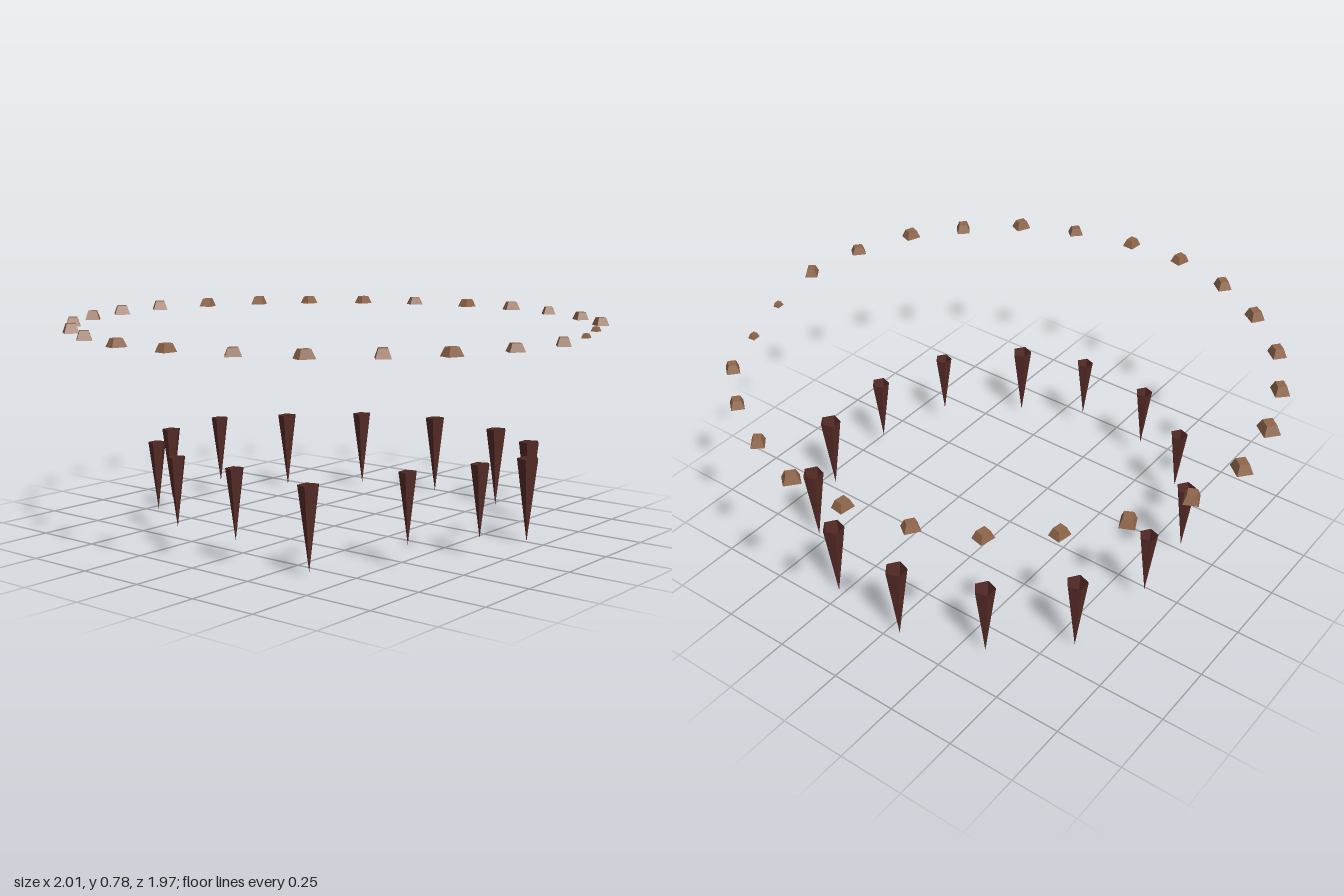
import * as THREE from 'three';

const stoneMat = new THREE.MeshStandardMaterial({ color: 0x8f6549, flatShading: true });
stoneMat.name = 'brown stone';
const spikeMat = new THREE.MeshStandardMaterial({ color: 0x562b26, flatShading: true, side: THREE.DoubleSide });
spikeMat.name = 'dark red brown';

// Upper ring of stones: x, z, width, turn in degrees
const STONES = [
  [-0.06, -0.949, 0.050, -8], [0.158, -0.949, 0.052, -40], [0.377, -0.875, 0.048, 40],
  [0.583, -0.765, 0.048, 50], [0.746, -0.624, 0.048, 50], [0.834, -0.431, 0.028, 5],
  [0.912, -0.223, 0.026, 5], [0.968, 0.021, 0.048, 35], [0.933, 0.253, 0.046, -40],
  [0.845, 0.472, 0.050, -20], [0.709, 0.638, 0.052, 40], [0.535, 0.798, 0.050, -25],
  [0.329, 0.888, 0.046, -45], [0.096, 0.943, 0.047, -5], [-0.123, 0.949, 0.048, -15],
  [-0.353, 0.883, 0.053, 50], [-0.556, 0.766, 0.055, 55], [-0.738, 0.6, 0.053, 50],
  [-0.856, 0.402, 0.055, 45], [-0.93, 0.184, 0.062, 50], [-0.96, -0.051, 0.058, 50],
  [-0.909, -0.276, 0.053, 25], [-0.81, -0.487, 0.053, 25], [-0.674, -0.656, 0.048, -10],
  [-0.497, -0.805, 0.049, -12], [-0.294, -0.902, 0.048, -35],
];

// Lower ring of spikes: x, z, tip height, top height
const SPIKES = [
  [-0.048, -0.716, 0.005, 0.31], [0.273, -0.677, 0, 0.305], [0.532, -0.5, 0.012, 0.31],
  [0.695, -0.227, 0.008, 0.31], [0.684, 0.059, 0.075, 0.333], [0.585, 0.335, 0.092, 0.338],
  [0.382, 0.597, 0.02, 0.31], [0.107, 0.65, 0.092, 0.338], [-0.19, 0.626, 0.087, 0.335],
  [-0.444, 0.473, 0.087, 0.335], [-0.626, 0.223, 0.058, 0.328], [-0.655, -0.077, 0.072, 0.33],
  [-0.578, -0.401, 0.012, 0.307], [-0.348, -0.612, 0.018, 0.31],
];

// Four-sided block of unit width, narrowing towards the top
function blockGeometry() {
  const g = new THREE.CylinderGeometry(0.6 * Math.SQRT1_2, Math.SQRT1_2, 1, 4);
  g.rotateY(Math.PI / 4);
  g.translate(0, 0.5, 0);
  return g;
}

export function createModel() {
  const model = new THREE.Group();

  const stoneRing = new THREE.Group();
  stoneRing.name = 'stoneRing';
  const block = blockGeometry();
  for (const [x, z, w, turn] of STONES) {
    const stone = new THREE.Mesh(block, stoneMat);
    stone.name = 'stone';
    stone.position.set(x, 0.75, z);
    stone.scale.set(w * 0.96, Math.min(0.034, w * 0.6), w * 1.14);
    stone.rotation.y = THREE.MathUtils.degToRad(turn);
    stoneRing.add(stone);
  }
  model.add(stoneRing);

  // Hollow five-sided spikes, points down
  const spikeRing = new THREE.Group();
  spikeRing.name = 'spikeRing';
  for (const [x, z, tip, top] of SPIKES) {
    const length = top - tip;
    const g = new THREE.CylinderGeometry(length * 0.133, 0, length, 5, 1, true);
    g.rotateY(Math.PI / 2);
    const spike = new THREE.Mesh(g, spikeMat);
    spike.name = 'spike';
    spike.position.set(x, (top + tip) / 2, z);
    spikeRing.add(spike);
  }
  model.add(spikeRing);

  return model;
}
